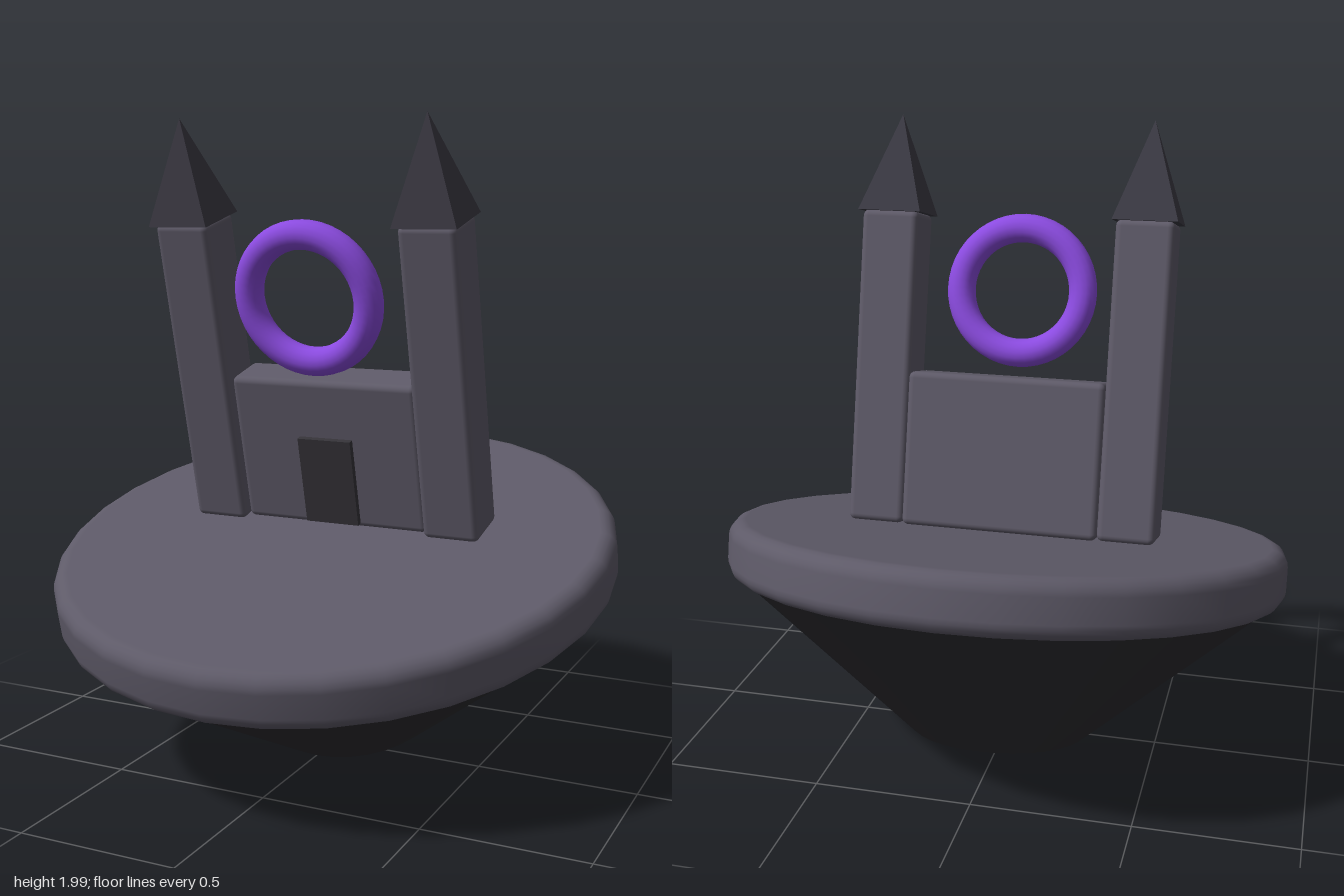
import * as THREE from 'three';
import { RoundedBoxGeometry } from 'three/addons/geometries/RoundedBoxGeometry.js';

const mat = (name, color, flatShading = false) => {
  const m = new THREE.MeshStandardMaterial({ color, flatShading });
  m.name = name;
  return m;
};

// Disc with rounded rims, standing on y = 0
function roundedDisc(radius, height, bevel, segments) {
  const pts = [new THREE.Vector2(0, 0)];
  const arc = (cy, from) => {
    for (let i = 0; i <= 5; i++) {
      const a = from + (i / 5) * Math.PI / 2;
      pts.push(new THREE.Vector2(radius - bevel + bevel * Math.cos(a), cy + bevel * Math.sin(a)));
    }
  };
  arc(bevel, -Math.PI / 2);
  arc(height - bevel, 0);
  pts.push(new THREE.Vector2(0, height));
  return new THREE.LatheGeometry(pts, segments);
}

export function createModel() {
  const stone = mat('stone', 0x5e5a68);
  const rock = mat('dark rock', 0x2d2c30);
  const roofMat = mat('roof slate', 0x3b3943, true);
  const doorMat = mat('door', 0x353338);
  const purple = mat('purple glow', 0x8b4be0);

  const model = new THREE.Group();
  model.name = 'floatingCastle';

  // Everything leans forward together
  const island = new THREE.Group();
  island.name = 'tiltedIsland';
  island.rotation.x = 0.24;
  model.add(island);

  const add = (name, geometry, material, x, y, z) => {
    const mesh = new THREE.Mesh(geometry, material);
    mesh.name = name;
    mesh.position.set(x, y, z);
    island.add(mesh);
    return mesh;
  };

  // Island: tapering rock below a rounded stone slab
  const axisZ = -0.152;
  add('rockBase', new THREE.CylinderGeometry(0.848, 0.283, 0.492, 32), rock, 0, 0.285, axisZ);
  add('platform', roundedDisc(0.893, 0.176, 0.05, 32), stone, 0, 0.53, axisZ);

  // Castle keep and door
  add('keep', new RoundedBoxGeometry(0.626, 0.487, 0.155, 3, 0.02), stone, 0, 0.953, -0.257);
  add('door', new THREE.BoxGeometry(0.18, 0.285, 0.04), doorMat, 0, 0.868, -0.18);

  // Twin towers with pyramid roofs
  const roofGeo = new THREE.ConeGeometry(0.1425, 0.31, 4);
  roofGeo.rotateY(Math.PI / 4);
  for (const [side, s] of [['left', 1], ['right', -1]]) {
    add(side + 'Tower', new RoundedBoxGeometry(0.18, 0.985, 0.178, 3, 0.02), stone, s * 0.402, 1.203, -0.237);
    add(side + 'Roof', roofGeo, roofMat, s * 0.402, 1.848, -0.234);
  }

  // Ring above the gate
  add('ring', new THREE.TorusGeometry(0.198, 0.045, 16, 48), purple, 0, 1.468, -0.167);

  return model;
}
